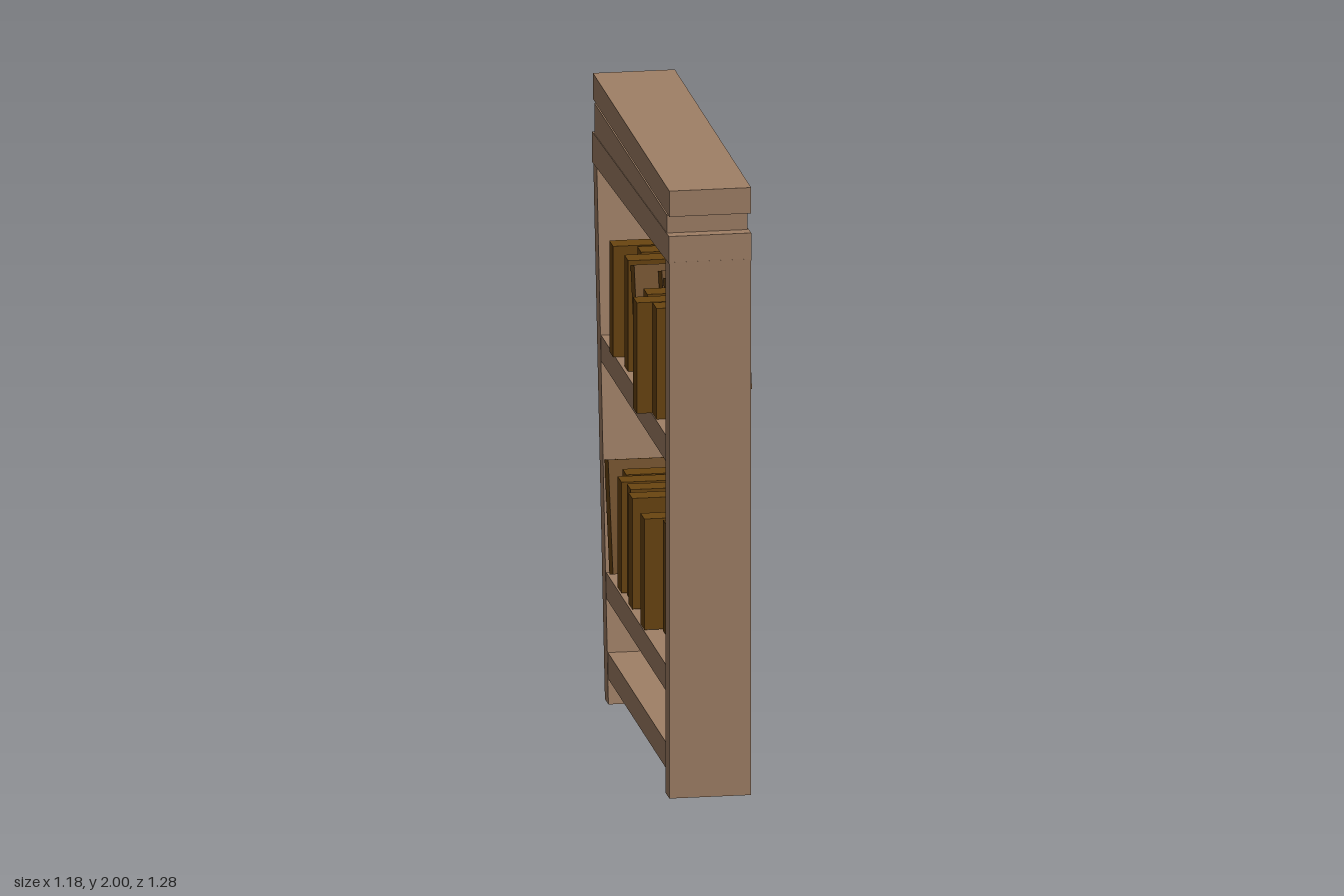
import * as THREE from 'three';

const wood = new THREE.MeshStandardMaterial({ color: 0xa08066, flatShading: true });
const cover = new THREE.MeshStandardMaterial({ color: 0x6a4510, flatShading: true });

// Four-cornered plank outline (counter-clockwise, x/y) extruded from z0 to z1
function plank(name, corners, z0 = -0.132, z1 = 0.132) {
  const shape = new THREE.Shape(corners.map(([x, y]) => new THREE.Vector2(x, y)));
  const geo = new THREE.ExtrudeGeometry(shape, { depth: z1 - z0, bevelEnabled: false });
  geo.translate(0, 0, z0);
  const mesh = new THREE.Mesh(geo, wood);
  mesh.name = name;
  return mesh;
}

// Inner face of the leaning post at a given height
const innerX = (y) => -0.436 - 0.13 * y;

// Book standing at x on a shelf; back is how far its rear edge reaches
function book(x, shelfY, back, lean = 0, height = 0.365) {
  const thick = 0.073, depth = 0.257;
  const mesh = new THREE.Mesh(new THREE.BoxGeometry(thick, height, depth), cover);
  mesh.name = 'book';
  mesh.rotation.z = lean;
  mesh.position.set(
    x - Math.sin(lean) * height / 2,
    shelfY + Math.cos(lean) * height / 2 + Math.sin(lean) * thick / 2,
    depth / 2 - back
  );
  return mesh;
}

export function createModel() {
  const model = new THREE.Group();
  model.name = 'bookshelf';

  // Posts: one upright, one leaning outward
  model.add(plank('uprightPost', [[0.66, 0], [0.733, 0], [0.733, 1.765], [0.66, 1.765]]));
  model.add(plank('leaningPost', [[-0.503, 0], [innerX(0), 0], [innerX(1.72), 1.72], [-0.727, 1.72]]));

  // Sloping beam, wedge and cap across the top
  model.add(plank('slopingBeam', [[-0.742, 1.705], [0.733, 1.76], [0.731, 1.85], [-0.745, 1.805]], -0.133, 0.133));
  model.add(plank('wedgeBoard', [[-0.71, 1.806], [0.682, 1.848], [0.682, 1.907], [-0.71, 1.907]], -0.128, 0.131));
  model.add(plank('topBoard', [[-0.734, 1.915], [0.733, 1.915], [0.733, 2], [-0.734, 2]], -0.132, 0.132));

  // Shelves and foot rail, cut to meet the leaning post
  for (const [name, y0, y1] of [['upperShelf', 1.09, 1.175], ['lowerShelf', 0.335, 0.42], ['footRail', 0.08, 0.165]]) {
    model.add(plank(name, [[innerX(y0), y0], [0.66, y0], [0.66, y1], [innerX(y1), y1]], -0.142, 0.13));
  }

  // Rows of books: position, rear reach, lean
  const upper = [
    [0.615, 0.145], [0.51, 0.158], [0.42, 0.13], [0.341, 0.08], [0.245, 0.13],
    [0.178, 0.222, 0.28], [0.09, 0.22, 0.28], [0.005, 0.145, 0.28],
    [-0.172, 0.138], [-0.267, 0.196], [-0.353, 0.12],
  ];
  const lower = [
    [0.298, 0.184], [0.205, 0.127], [-0.05, 0.131], [-0.157, 0.144],
    [-0.251, 0.13], [-0.338, 0.16], [-0.412, 0.13, 0.26],
  ];
  const rows = [['upperBooks', upper, 1.175], ['lowerBooks', lower, 0.425]];
  for (const [name, list, y] of rows) {
    const row = new THREE.Group();
    row.name = name;
    for (const [x, back, lean] of list) row.add(book(x, y, back, lean));
    model.add(row);
  }

  // The whole unit stands turned on the floor
  const root = new THREE.Group();
  root.name = 'turnedBookshelf';
  model.rotation.y = -0.84;
  root.add(model);
  return root;
}
